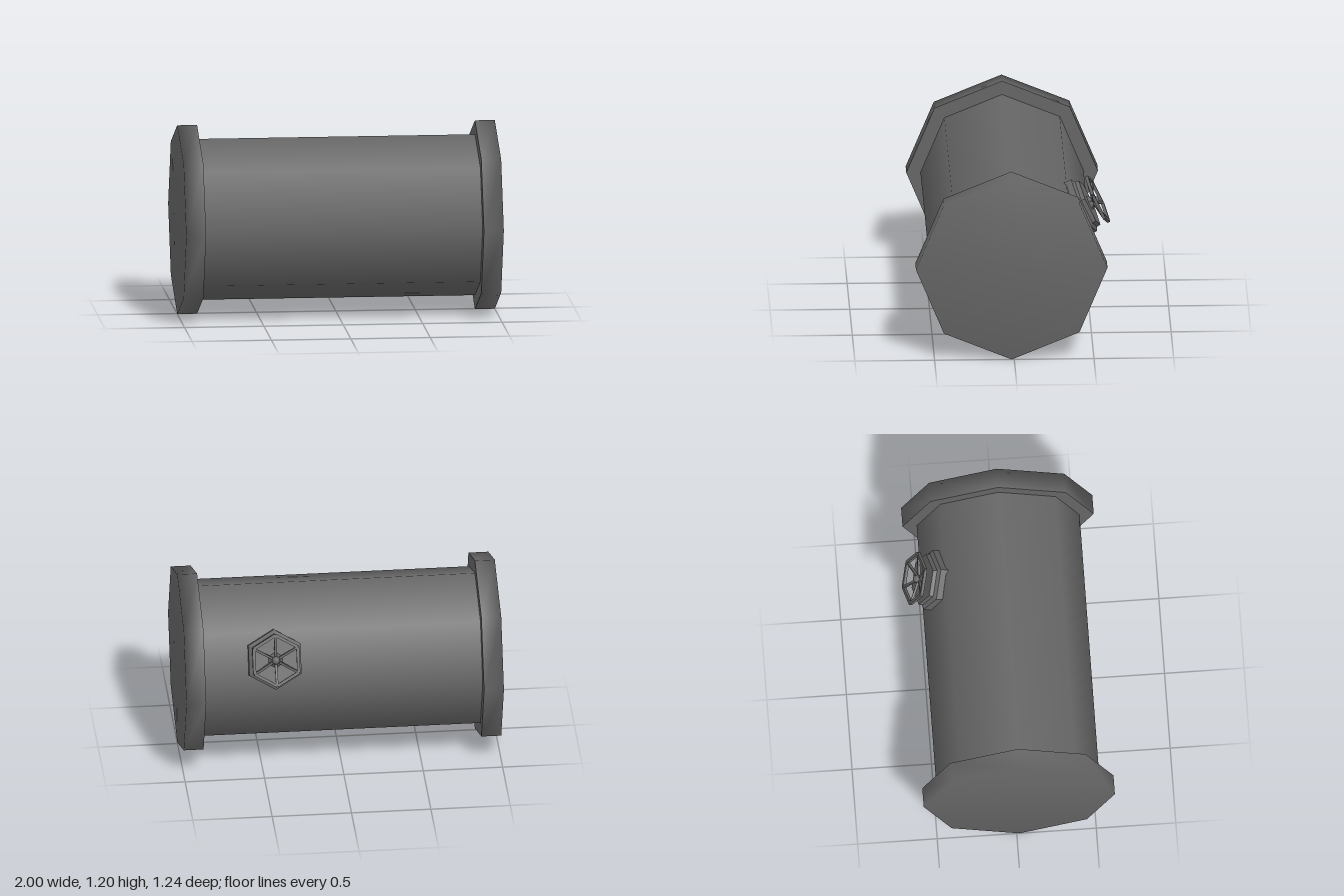
import * as THREE from 'three';

const steel = new THREE.MeshStandardMaterial({ color: 0x666666 });
steel.name = 'dark grey steel';

const CENTRE_Y = 0.602, CENTRE_Z = 0.016;
const PIPE_R = 0.512, FLANGE_R = 0.601, FLANGE_IN = 0.875;

function add(parent, geometry, name) {
  const mesh = new THREE.Mesh(geometry, steel);
  mesh.name = name;
  parent.add(mesh);
  return mesh;
}

// Gives every face its own normal
function faceted(geometry) {
  const flat = geometry.toNonIndexed();
  flat.computeVertexNormals();
  return flat;
}

function lathe(points) {
  return new THREE.LatheGeometry(points.map(([r, y]) => new THREE.Vector2(r, y)), 8);
}

// Square bar between two points
function bar(parent, a, b, size, name) {
  const mesh = add(parent, new THREE.BoxGeometry(size, size, a.distanceTo(b)), name);
  mesh.position.copy(a).add(b).multiplyScalar(0.5);
  mesh.quaternion.setFromUnitVectors(new THREE.Vector3(0, 0, 1), b.clone().sub(a).normalize());
}

// Stacked hexagonal seat with a spoked handwheel; local y points away from the pipe
function createValve() {
  const valve = new THREE.Group();
  valve.name = 'valve';
  const layers = [ // bottom radius, top radius, bottom, top
    [0.19, 0.19, 0.42, 0.52, 'valveBase'],
    [0.19, 0.165, 0.52, 0.535, 'valveShoulder'],
    [0.165, 0.16, 0.535, 0.56, 'valveCap'],
    [0.05, 0.025, 0.56, 0.585, 'valveCollar'],
    [0.02, 0.02, 0.575, 0.605, 'valveStem'],
  ];
  for (const [r0, r1, y0, y1, name] of layers) {
    add(valve, faceted(new THREE.CylinderGeometry(r1, r0, y1 - y0, 6)), name).position.y = (y0 + y1) / 2;
  }
  add(valve, new THREE.SphereGeometry(0.026, 10, 6), 'wheelHub').position.y = 0.598;

  const corner = (i) => {
    const a = (i * Math.PI) / 3;
    return new THREE.Vector3(0.16 * Math.sin(a), 0.615, 0.16 * Math.cos(a));
  };
  const hub = new THREE.Vector3(0, 0.582, 0);
  for (let i = 0; i < 6; i++) {
    bar(valve, corner(i), corner(i + 1), 0.019, 'wheelRim');
    bar(valve, hub, corner(i), 0.015, 'wheelSpoke');
  }
  return valve;
}

export function createModel() {
  const model = new THREE.Group();
  model.name = 'pipeSection';

  // Eight-sided pipe, smooth shaded
  const pipe = add(model, new THREE.CylinderGeometry(PIPE_R, PIPE_R, 2 * FLANGE_IN + 0.02, 8, 1, true), 'pipe');
  pipe.rotation.z = -Math.PI / 2;
  pipe.position.set(0, CENTRE_Y, CENTRE_Z);

  // Closed flange at each end: soft outer shell, crisp inner ring
  for (const side of [1, -1]) {
    const flange = new THREE.Group();
    flange.name = side > 0 ? 'leftFlange' : 'rightFlange';
    flange.position.set(0, CENTRE_Y, CENTRE_Z);
    flange.rotation.z = (-side * Math.PI) / 2;
    add(flange, lathe([[FLANGE_R, FLANGE_IN], [FLANGE_R, 1], [0, 1]]), 'flangeShell');
    add(flange, lathe([[PIPE_R - 0.01, FLANGE_IN], [FLANGE_R, FLANGE_IN]]), 'flangeRing');
    model.add(flange);
  }

  // Valve on the upper back face
  const valve = createValve();
  valve.position.set(0.43, CENTRE_Y, CENTRE_Z);
  valve.rotation.x = THREE.MathUtils.degToRad(-65);
  model.add(valve);

  return model;
}
